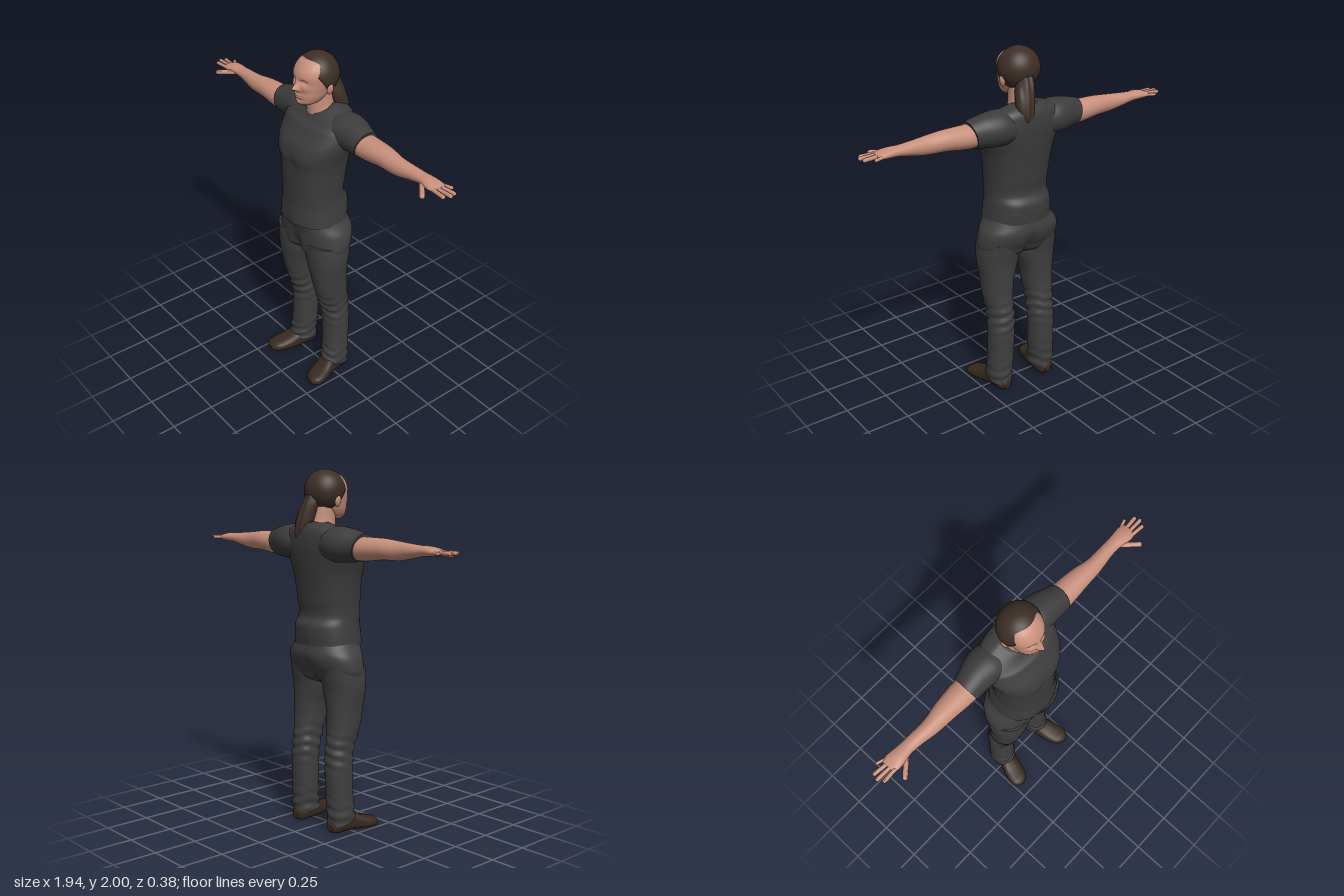
import * as THREE from 'three';

const mat = (name, color) => {
  const m = new THREE.MeshStandardMaterial({ color });
  m.name = name;
  return m;
};

// Smooth loft. Each section is [t, centreA, halfA, minB, maxB], t ascending along the axis.
// (A, B) is (x, z) for axis y, (y, z) for axis x and (x, y) for axis z.
function loft(axis, sections, { rings = 40, segs = 40, power = 2, rule } = {}) {
  const curve = new THREE.CubicInterpolant(
    sections.map(s => s[0]), sections.flatMap(s => s.slice(1)), 4, new Float32Array(4));
  const t0 = sections[0][0], t1 = sections[sections.length - 1][0];
  const pos = [], index = [];
  const flip = axis === 'y';
  const tri = (a, b, c) => (flip ? index.push(a, c, b) : index.push(a, b, c));
  const round = v => Math.sign(v) * Math.abs(v) ** (2 / power);
  const v = new THREE.Vector3();
  const put = (a, b, t) => {
    if (axis === 'y') v.set(a, t, b);
    else if (axis === 'x') v.set(t, a, b);
    else v.set(a, b, t);
    if (rule) rule(v);
    pos.push(v.x, v.y, v.z);
  };
  const ring = t => {
    const [a, ra, b0, b1] = curve.evaluate(t);
    for (let j = 0; j < segs; j++) {
      const q = (j / segs) * Math.PI * 2;
      put(a + ra * round(Math.cos(q)), (b0 + b1) / 2 + (b1 - b0) / 2 * round(Math.sin(q)), t);
    }
    return [a, (b0 + b1) / 2];
  };
  for (let i = 0; i <= rings; i++) ring(t0 + (t1 - t0) * i / rings);
  for (let i = 0; i < rings; i++) for (let j = 0; j < segs; j++) {
    const a = i * segs + j, b = i * segs + (j + 1) % segs;
    tri(a, b, b + segs);
    tri(a, b + segs, a + segs);
  }
  // Flat end caps
  [t0, t1].forEach((t, end) => {
    const base = pos.length / 3;
    const [a, b] = ring(t);
    put(a, b, t);
    for (let j = 0; j < segs; j++) {
      const p = base + j, q = base + (j + 1) % segs;
      end ? tri(p, q, base + segs) : tri(q, p, base + segs);
    }
  });
  const g = new THREE.BufferGeometry();
  g.setAttribute('position', new THREE.Float32BufferAttribute(pos, 3));
  g.setIndex(index);
  g.computeVertexNormals();
  return g;
}

function mirrored(geometry) {
  const g = geometry.clone().scale(-1, 1, 1);
  const ix = g.index.array;
  for (let i = 0; i < ix.length; i += 3) [ix[i], ix[i + 1]] = [ix[i + 1], ix[i]];
  g.computeVertexNormals();
  return g;
}

// Rounded finger between two points
function finger(from, to, r) {
  const a = new THREE.Vector3(...from), d = new THREE.Vector3(...to).sub(a);
  const len = d.length();
  const g = new THREE.CapsuleGeometry(r, len - r, 6, 12);
  g.applyQuaternion(new THREE.Quaternion().setFromUnitVectors(new THREE.Vector3(0, 1, 0), d.normalize()));
  const c = a.addScaledVector(d, len / 2 - r / 2);
  return g.translate(c.x, c.y, c.z);
}

const bump = (x, y, x0, y0, sx, sy) => Math.exp(-(((x - x0) / sx) ** 2) - ((y - y0) / sy) ** 2);

export function createModel() {
  const model = new THREE.Group();
  model.name = 'standingWoman';
  const skin = mat('skin', 0xc78f7b), shirt = mat('shirt cloth', 0x3c3c3d);
  const trousers = mat('trouser cloth', 0x3f3f40), hair = mat('hair', 0x3d2e26);
  const leather = mat('shoe leather', 0x38291f);
  hair.side = THREE.DoubleSide;
  const add = (name, geometry, material) => {
    const m = new THREE.Mesh(geometry, material);
    m.name = name;
    model.add(m);
    return m;
  };
  const addPair = (name, geometry, material) => {
    add('left' + name, geometry, material);
    add('right' + name, mirrored(geometry), material);
  };

  // Shirt body, with the neckline dropping towards the front
  add('shirtBody', loft('y', [
    [1.05, 0, .195, -.165, .168], [1.12, 0, .187, -.17, .164], [1.165, 0, .181, -.166, .16],
    [1.2, 0, .178, -.143, .16], [1.3, 0, .182, -.15, .161], [1.4, 0, .193, -.163, .163],
    [1.455, 0, .204, -.171, .17], [1.52, 0, .224, -.179, .15], [1.58, 0, .235, -.185, .108],
    [1.64, 0, .224, -.184, .068], [1.68, 0, .19, -.176, .042], [1.705, 0, .135, -.16, .028],
    [1.718, 0, .088, -.142, .024],
  ], {
    rings: 80, segs: 56, power: 2.25,
    rule: v => {
      const k = Math.max(0, v.y - 1.62) / .098, f = Math.max(0, v.z + .07) / .1;
      v.y -= .045 * k * f;
      if (v.z > 0) v.z -= .012 * bump(v.x, v.y, 0, 1.45, .035, .06);
      v.z += .004 * Math.sin(v.x * 45) * Math.max(0, 1.25 - v.y) * 3;
    },
  }), shirt);
  const collar = new THREE.TorusGeometry(.082, .007, 10, 48).rotateX(Math.PI / 2 + .26);
  add('collar', collar.translate(0, 1.695, -.06), shirt);

  // Short sleeves with a slanted opening
  addPair('Sleeve', loft('x', [
    [.1, 1.6, .09, -.17, .02], [.18, 1.605, .097, -.184, .025], [.25, 1.603, .091, -.172, .015],
    [.3, 1.598, .083, -.154, .013], [.345, 1.594, .074, -.143, .012],
  ], {
    rings: 24,
    rule: v => { v.x += .22 * (v.y - 1.61) * Math.max(0, (v.x - .2) / .14); },
  }), shirt);

  // Bare arm and palm
  addPair('Arm', loft('x', [
    [.28, 1.592, .062, -.132, .002], [.35, 1.589, .064, -.135, .005], [.5, 1.595, .055, -.12, -.003],
    [.6, 1.591, .049, -.102, -.01], [.7, 1.596, .036, -.1, -.023], [.76, 1.6, .028, -.1, -.025],
    [.81, 1.601, .026, -.104, -.016], [.855, 1.599, .02, -.107, -.012], [.885, 1.597, .011, -.1, -.02],
  ], { rings: 48, segs: 32 }), skin);
  const fingers = [
    [[.85, 1.598, -.094], [.915, 1.597, -.115], .009], [[.86, 1.6, -.072], [.963, 1.598, -.083], .011],
    [[.86, 1.6, -.05], [.972, 1.6, -.052], .011], [[.86, 1.599, -.027], [.953, 1.598, -.02], .011],
    [[.79, 1.592, -.03], [.872, 1.583, .044], .014],
  ];
  fingers.forEach((f, i) => addPair(i < 4 ? 'Finger' + (i + 1) : 'Thumb', finger(...f), skin));

  // Neck
  add('neck', loft('y', [
    [1.63, 0, .085, -.13, .03], [1.68, 0, .074, -.125, .03], [1.72, 0, .067, -.115, .032],
    [1.8, 0, .066, -.11, .04],
  ], { rings: 16 }), skin);

  // Head with nose, eye sockets, lips and chin raised or sunk by soft bumps
  const features = [
    [0, 1.836, .014, .015, .034], [0, 1.86, .01, .02, .017], [.016, 1.829, .008, .008, .008],
    [-.016, 1.829, .008, .008, .008], [.036, 1.872, .02, .012, -.014], [-.036, 1.872, .02, .012, -.014],
    [0, 1.798, .026, .006, .007], [0, 1.784, .022, .006, .007], [0, 1.772, .03, .006, -.004],
    [0, 1.75, .02, .012, .006], [.048, 1.84, .02, .018, .006], [-.048, 1.84, .02, .018, .006],
  ];
  add('head', loft('y', [
    [1.732, 0, .025, .03, .08], [1.745, 0, .05, -.02, .097], [1.775, 0, .072, -.06, .106],
    [1.82, 0, .086, -.09, .108], [1.86, 0, .096, -.11, .108], [1.9, 0, .101, -.115, .108],
    [1.94, 0, .094, -.11, .089], [1.97, 0, .07, -.085, .058], [1.988, 0, .03, -.05, .02],
  ], {
    rings: 84, segs: 84, power: 2.15,
    rule: v => {
      if (v.z < .03) return;
      const { x, y } = v;
      for (const [x0, y0, sx, sy, h] of features) v.z += h * bump(x, y, x0, y0, sx, sy);
    },
  }), skin);
  const ear = new THREE.SphereGeometry(1, 20, 14).scale(.012, .031, .02);
  addPair('Ear', ear.rotateZ(-.2).translate(.105, 1.828, -.022), skin);

  // Swept-back hair: a tilted cap with its rim turned in
  const rim = 1.98, profile = [new THREE.Vector2(.84 * Math.sin(rim), .84 * Math.cos(rim))];
  for (let i = 0; i <= 30; i++) {
    const q = rim * (1 - i / 30);
    profile.push(new THREE.Vector2(Math.max(0, Math.sin(q)), Math.cos(q)));
  }
  const cap = new THREE.LatheGeometry(profile, 56).rotateX(-.955).scale(.117, .115, .113);
  add('hair', cap.translate(0, 1.885, -.022), hair);
  add('ponytail', loft('y', [
    [1.622, .05, .012, -.175, -.15], [1.65, .047, .035, -.186, -.125], [1.7, .043, .05, -.184, -.095],
    [1.76, .032, .055, -.172, -.07], [1.81, .018, .052, -.156, -.06], [1.86, .008, .045, -.135, -.05],
  ], {
    rings: 28,
    rule: v => { v.z += .004 * Math.sin(v.x * 160 + v.y * 20); },
  }), hair);

  // Trousers: hips and two straight legs with soft folds
  add('hips', loft('y', [
    [.825, 0, .13, -.06, .07], [.85, 0, .215, -.105, .115], [.9, 0, .247, -.137, .13],
    [.95, 0, .247, -.16, .134], [1, 0, .234, -.17, .137], [1.04, 0, .206, -.164, .145],
    [1.09, 0, .178, -.15, .145],
  ], {
    rings: 40, segs: 56, power: 2.25,
    rule: v => {
      const cleft = bump(v.x, v.y, 0, .87, .03, .09);
      v.z -= Math.sign(v.z) * .03 * cleft;
    },
  }), trousers);
  addPair('TrouserLeg', loft('y', [
    [.055, .15, .07, -.113, .046], [.1, .151, .072, -.116, .04], [.2, .145, .075, -.12, .032],
    [.4, .141, .076, -.125, .031], [.45, .138, .075, -.122, .038], [.5, .139, .074, -.119, .056],
    [.6, .14, .085, -.106, .086], [.7, .136, .095, -.105, .106], [.8, .127, .118, -.108, .12],
    [.86, .125, .122, -.118, .124], [.93, .124, .118, -.13, .125],
  ], {
    rings: 90, power: 2.15,
    rule: v => {
      const folds = bump(0, v.y, 0, .47, 1, .09) + bump(0, v.y, 0, .1, 1, .09);
      v.z += .005 * folds * Math.sin(v.y * 110 + v.x * 30);
      v.x += .003 * folds * Math.sin(v.y * 95 + v.z * 40);
      v.y += .2 * (v.z + .03) * Math.max(0, 1 - (v.y - .055) / .15);
    },
  }), trousers);

  // Flat-soled shoes, toes turned slightly out
  addPair('Shoe', loft('z', [
    [-.12, .148, .022, .012, .05], [-.1, .147, .043, -.004, .085], [-.04, .149, .053, -.006, .105],
    [.03, .16, .059, -.006, .1], [.08, .175, .062, -.006, .075], [.13, .188, .06, -.005, .06],
    [.165, .194, .048, -.002, .05], [.188, .197, .02, .01, .032],
  ], {
    rings: 48, power: 2.5,
    rule: v => { v.y = Math.max(0, v.y); },
  }), leather);

  return model;
}
